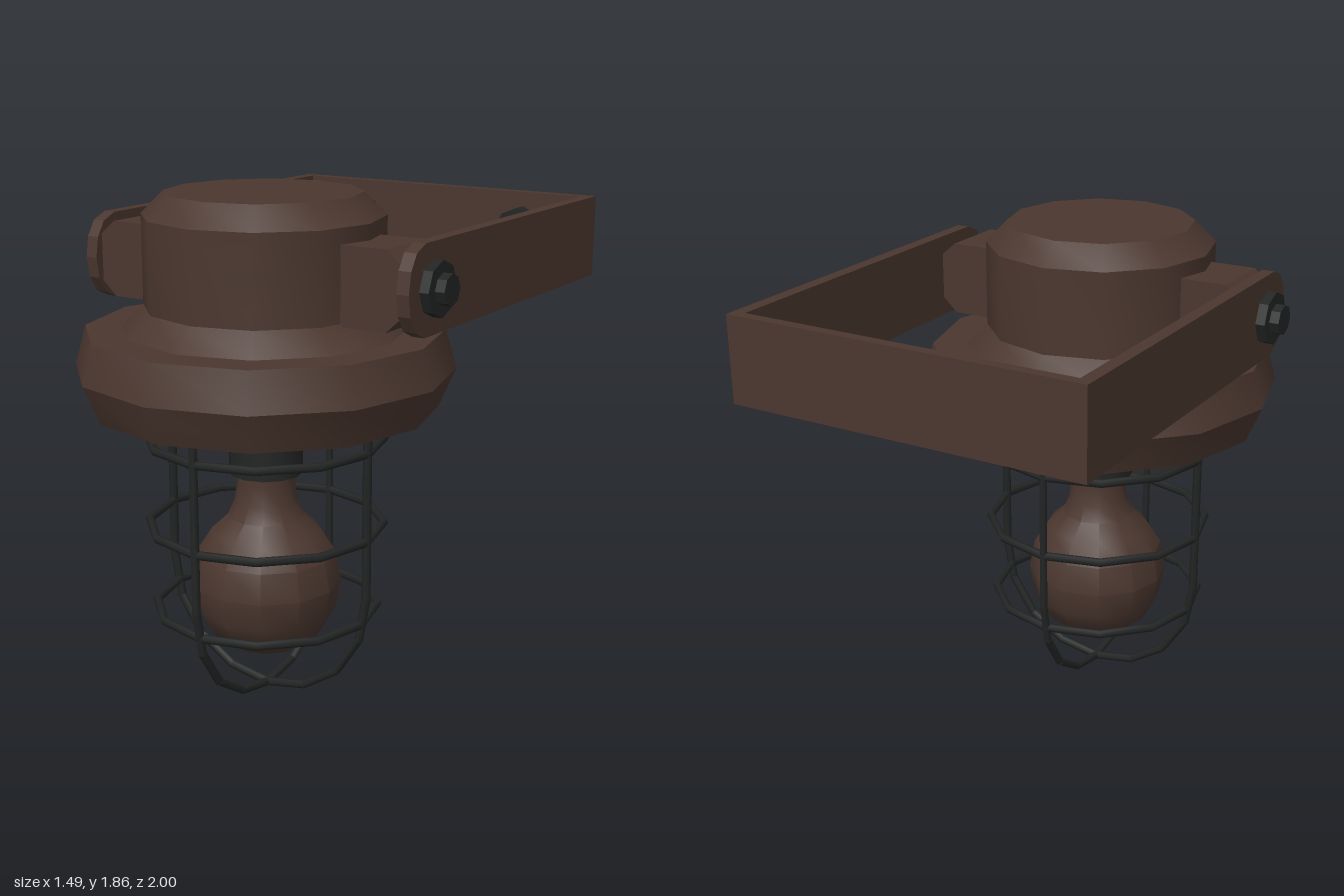
import * as THREE from 'three';
import { toCreasedNormals, mergeGeometries } from 'three/addons/utils/BufferGeometryUtils.js';

const AXIS_Z = 0.315; // lamp axis, ahead of the bracket
const ARM_Y = 1.6;

export function createModel() {
  const model = new THREE.Group();
  model.name = 'cageWallLamp';

  const brown = new THREE.MeshStandardMaterial({ color: 0x4b372f });
  brown.name = 'rustBrown';
  const black = new THREE.MeshStandardMaterial({ color: 0x232525 });
  black.name = 'blackIron';

  const add = (parent, name, geometry, material) => {
    const mesh = new THREE.Mesh(geometry, material);
    mesh.name = name;
    parent.add(mesh);
    return mesh;
  };
  const lathe = (points) =>
    toCreasedNormals(new THREE.LatheGeometry(points.map(([r, y]) => new THREE.Vector2(r, y)), 12), 0.6);

  // Everything turned around the lamp axis
  const lamp = new THREE.Group();
  lamp.name = 'lamp';
  lamp.position.z = AXIS_Z;
  model.add(lamp);

  // Housing: recess wall, flared skirt, drum and chamfered cap
  add(lamp, 'housing', lathe([
    [0.48, 1.22], [0.48, 1.11], [0.62, 1.11], [0.68, 1.25], [0.64, 1.39], [0.51, 1.39],
    [0.43, 1.47], [0.43, 1.79], [0.35, 1.87], [0, 1.87],
  ]), brown);

  // Stepped plate inside the skirt
  add(lamp, 'recessPlate', lathe([
    [0, 1.27], [0.3, 1.27], [0.33, 1.2], [0.48, 1.18],
  ]), black);

  add(lamp, 'socket', lathe([[0, 0.855], [0.135, 0.855], [0.135, 1.28]]), black);

  add(lamp, 'bulb', lathe([
    [0, 0.165], [0.07, 0.172], [0.14, 0.195], [0.21, 0.25], [0.257, 0.335], [0.275, 0.44],
    [0.255, 0.55], [0.2, 0.635], [0.14, 0.69], [0.115, 0.75], [0.105, 0.82], [0.105, 0.87],
  ]), brown);

  // Cage: two crossed U-shaped wires and three hoops
  const cage = new THREE.Group();
  cage.name = 'cage';
  lamp.add(cage);

  const half = [[0.43, 1.2], [0.43, 0.45], [0.4, 0.285], [0.305, 0.14], [0.165, 0.05]];
  const outline = [...half, [0, 0.02], ...half.map(([x, y]) => [-x, y]).reverse()]
    .map(([x, y]) => new THREE.Vector3(x, y, 0));
  const rods = [];
  for (let i = 0; i < outline.length - 1; i++) {
    const dir = outline[i + 1].clone().sub(outline[i]);
    const rod = new THREE.CylinderGeometry(0.016, 0.016, dir.length() + 0.008, 6);
    const turn = new THREE.Quaternion().setFromUnitVectors(new THREE.Vector3(0, 1, 0), dir.clone().normalize());
    rod.applyQuaternion(turn);
    const mid = outline[i].clone().add(outline[i + 1]).multiplyScalar(0.5);
    rods.push(rod.translate(mid.x, mid.y, 0));
  }
  const wire = mergeGeometries(rods);
  for (const angle of [0, Math.PI / 2]) add(cage, 'cageWire', wire, black).rotation.y = angle;

  for (const [r, y] of [[0.43, 0.99], [0.43, 0.665], [0.41, 0.347]]) {
    const hoop = add(cage, 'cageHoop', new THREE.TorusGeometry(r, 0.016, 6, 12), black);
    hoop.rotation.x = Math.PI / 2;
    hoop.position.y = y;
  }

  // Bolt with a wide head and a small stud, pointing along +y
  const makeBolt = () => {
    const bolt = new THREE.Group();
    bolt.name = 'bolt';
    const head = new THREE.CylinderGeometry(0.097, 0.097, 0.055, 8);
    const stud = new THREE.CylinderGeometry(0.055, 0.055, 0.045, 8);
    add(bolt, 'boltHead', toCreasedNormals(head, 0.3), black).position.y = 0.0125;
    add(bolt, 'boltStud', toCreasedNormals(stud, 0.3), black).position.y = 0.0525;
    return bolt;
  };

  // Arm side profile: x runs forward, rounded at the front end
  const armShape = new THREE.Shape([
    [-1, 1.442], [0.37, 1.442], [0.43, 1.47], [0.465, 1.525], [0.478, 1.6],
    [0.465, 1.675], [0.43, 1.73], [0.37, 1.755], [-1, 1.755],
  ].map(([z, y]) => new THREE.Vector2(z, y)));
  const armGeometry = new THREE.ExtrudeGeometry(armShape, { depth: 0.047, bevelEnabled: false });
  armGeometry.translate(0, 0, -0.0235).rotateY(-Math.PI / 2);

  // Pivot lug with chamfered top and bottom outer edges
  const lugShape = new THREE.Shape([
    [0.36, 1.46], [0.57, 1.46], [0.635, 1.52], [0.635, 1.68], [0.57, 1.735], [0.36, 1.735],
  ].map(([x, y]) => new THREE.Vector2(x, y)));
  const lugGeometry = new THREE.ExtrudeGeometry(lugShape, { depth: 0.256, bevelEnabled: false });
  lugGeometry.translate(0, 0, -0.128);

  const bracket = new THREE.Group();
  bracket.name = 'bracket';
  model.add(bracket);

  const back = add(bracket, 'backPlate', new THREE.BoxGeometry(1.35, 0.313, 0.04), brown);
  back.position.set(0, 1.5985, -0.98);

  for (const side of [1, -1]) {
    const prefix = side > 0 ? 'left' : 'right';
    add(bracket, prefix + 'Arm', armGeometry, brown).position.x = side * 0.6515;

    const lug = add(lamp, prefix + 'Lug', lugGeometry, brown);
    lug.rotation.y = side > 0 ? 0 : Math.PI;

    const pivotBolt = makeBolt();
    pivotBolt.name = prefix + 'PivotBolt';
    pivotBolt.rotation.z = -side * Math.PI / 2;
    pivotBolt.position.set(side * 0.67, ARM_Y, AXIS_Z);
    bracket.add(pivotBolt);

    const wallBolt = makeBolt();
    wallBolt.name = prefix + 'WallBolt';
    wallBolt.rotation.x = Math.PI / 2;
    wallBolt.position.set(side * 0.38, ARM_Y, -0.948);
    bracket.add(wallBolt);
  }

  return model;
}
